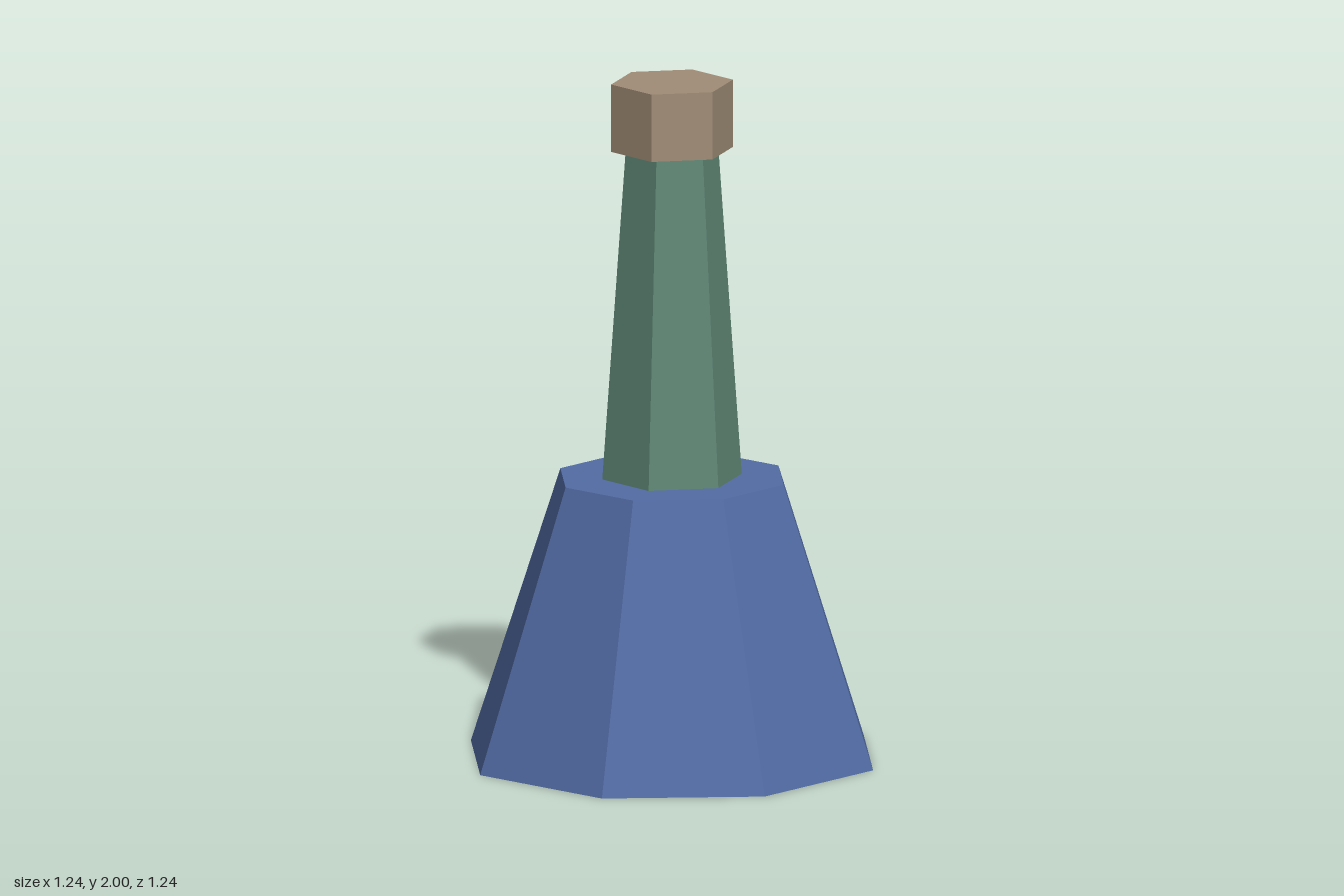
import * as THREE from 'three';

function material(name, color) {
  const m = new THREE.MeshStandardMaterial({ color, flatShading: true });
  m.name = name;
  return m;
}

// Faceted tapered section standing between two heights
function section(name, rTop, rBottom, y0, y1, sides, mat) {
  const geometry = new THREE.CylinderGeometry(rTop, rBottom, y1 - y0, sides);
  const mesh = new THREE.Mesh(geometry, mat);
  mesh.position.y = (y0 + y1) / 2;
  mesh.name = name;
  return mesh;
}

export function createModel() {
  const group = new THREE.Group();
  group.name = 'bottle';
  group.add(
    // Wide octagonal body
    section('body', 0.343, 0.618, 0, 0.828, 8, material('blue', 0x526ca5)),
    // Slender hexagonal neck
    section('neck', 0.137, 0.206, 0.828, 1.8, 6, material('green', 0x608977)),
    // Hexagonal stopper overhanging the neck
    section('stopper', 0.18, 0.18, 1.8, 2, 6, material('tan', 0xa08d77))
  );
  return group;
}
